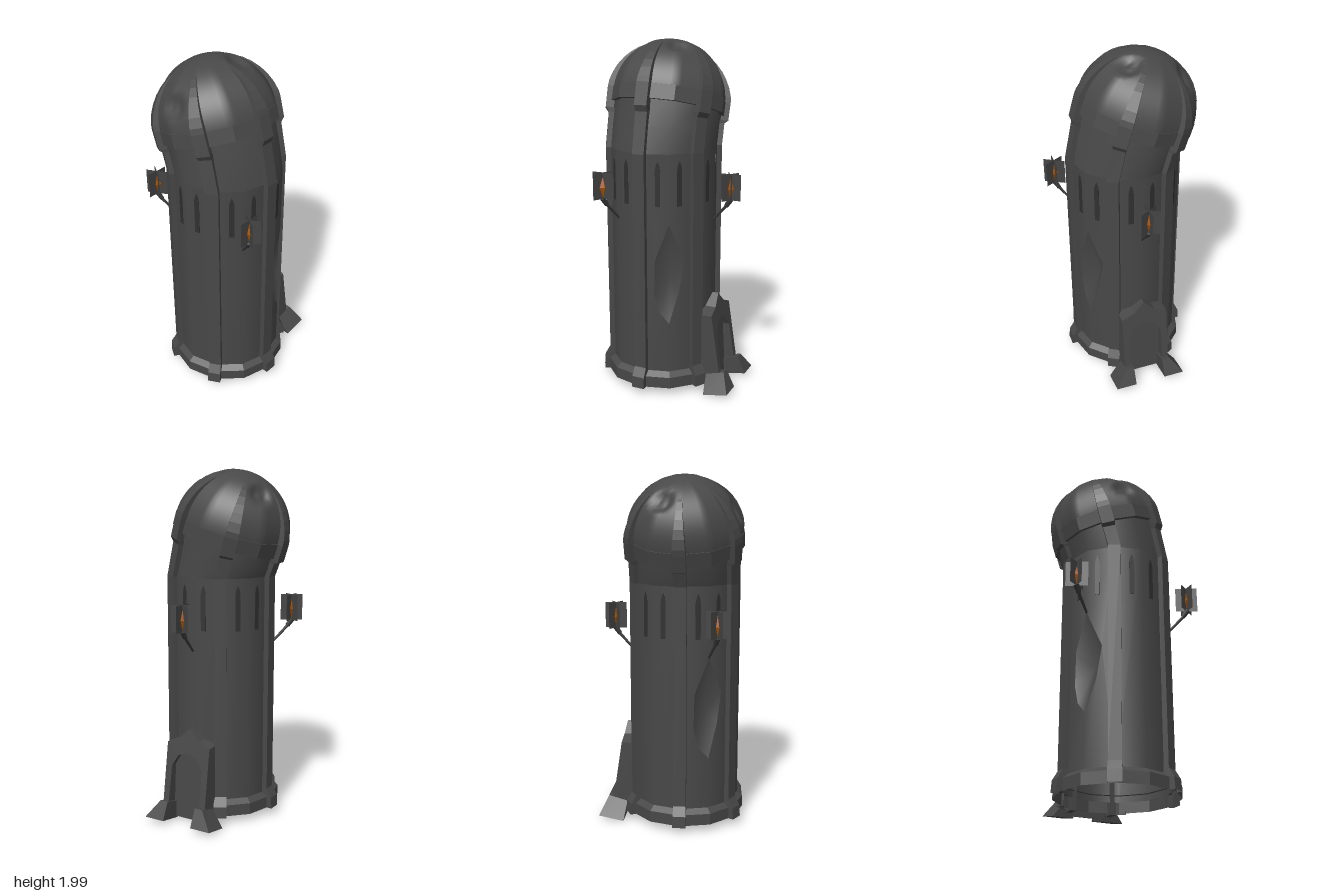
import * as THREE from 'three';

const CX = -0.075, TILT = 0.307, R = 0.31, STEP = Math.PI / 6;
const mat = (name, color, side = THREE.DoubleSide) => {
  const m = new THREE.MeshStandardMaterial({ color, side });
  m.name = name;
  return m;
};

// Point on the tower: h along the bent axis, r outwards, a from +z to +x, s sideways
function P(h, r, a, s = 0) {
  const k = THREE.MathUtils.clamp((h - 1.4) / 0.2, 0, 1), t = TILT * k, e = Math.max(0, h - 1.6);
  const lx = r * Math.sin(a) + s * Math.cos(a), lz = r * Math.cos(a) - s * Math.sin(a);
  return new THREE.Vector3(
    CX + lx,
    Math.min(h, 1.6) + e * Math.cos(TILT) + lz * Math.sin(t),
    -0.05 * k - e * Math.sin(TILT) + lz * Math.cos(t));
}

// Skin over rows of points
function loft(rows, flat) {
  const n = rows[0].length, idx = [];
  for (let i = 0; i < rows.length - 1; i++)
    for (let j = 0; j < n - 1; j++) {
      const a = i * n + j, b = a + 1, c = a + n, d = c + 1;
      idx.push(a, b, d, a, d, c);
    }
  let g = new THREE.BufferGeometry().setFromPoints(rows.flat());
  g.setIndex(idx);
  if (flat) g = g.toNonIndexed();
  g.computeVertexNormals();
  return g;
}

// Twelve-sided rings from [h, r] pairs
const rings = (profile, flat) => loft(profile.map(([h, r]) =>
  Array.from({ length: 13 }, (_, j) => P(h, r, j * STEP))), flat);

// Box whose eight corners are placed by a rule
function shapedBox(rule) {
  const g = new THREE.BoxGeometry(1, 1, 1), p = g.attributes.position;
  for (let i = 0; i < p.count; i++)
    p.setXYZ(i, ...rule(p.getX(i) > 0, p.getY(i) > 0, p.getZ(i) > 0));
  g.computeVertexNormals();
  return g;
}

export function createModel() {
  const root = new THREE.Group();
  const stone = mat('stone', 0x484848);
  const slitDark = mat('slitDark', 0x303030);
  const wood = mat('torchWood', 0x383838);
  const panel = mat('torchPanel', 0x444444);
  const orange = mat('flameOrange', 0xa65200);
  const add = (name, geo, m, parent = root) => {
    const mesh = new THREE.Mesh(geo, m);
    mesh.name = name;
    parent.add(mesh);
    return mesh;
  };

  // Shaft facets; two corners are broken by a gash
  const W = 2 * R * Math.sin(STEP / 2);
  const gashRight = [[0.06, 0.62], [0.09, 0.8]];
  const gashLeft = [[-0.08, 0.8], [-0.085, 0.6], [-0.06, 0.5]];
  const onFacet = (k, s, y, out = 0) => {
    const v = P(y, R, k * STEP).lerp(P(y, R, (k + 1) * STEP), s / W);
    const a = (k + 0.5) * STEP;
    return v.add(new THREE.Vector3(Math.sin(a) * out, 0, Math.cos(a) * out));
  };
  for (let k = 0; k < 12; k++) {
    let pts = [[0, 0.1], [W, 0.1], [W, 1.4], [0, 1.4]];
    if (k % 6 === 0)
      pts.splice(2, 0, [W, 0.43], ...[...gashLeft].reverse().map(([u, y]) => [W + u, y]), [W, 1.01]);
    if (k % 6 === 1)
      pts.push([0, 1.01], ...[...gashRight].reverse(), [0, 0.43]);
    const g = new THREE.ShapeGeometry(new THREE.Shape(pts.map(p => new THREE.Vector2(...p))));
    const p = g.attributes.position, nrm = g.attributes.normal;
    for (let i = 0; i < p.count; i++) {
      const v = onFacet(k, p.getX(i), p.getY(i));
      p.setXYZ(i, v.x, v.y, v.z);
      nrm.setXYZ(i, (v.x - CX) / R, 0, v.z / R);
    }
    add('shaftWall', g, stone);
  }

  // Sunken gashes
  for (const k of [0, 6]) {
    const rim = [onFacet(k, W, 0.43), ...gashRight.map(([u, y]) => onFacet(k + 1, u, y)),
      onFacet(k, W, 1.01), ...gashLeft.map(([u, y]) => onFacet(k, W + u, y))];
    const g = new THREE.BufferGeometry().setFromPoints([P(0.7, 0.235, (k + 1) * STEP, 0.015), ...rim]);
    g.setIndex(rim.flatMap((_, i) => [0, i + 1, (i + 1) % rim.length + 1]));
    g.computeVertexNormals();
    add('gash', g, stone);
  }

  // Bent neck, base flange and collar
  add('neck', rings([[1.4, R], [1.5, R], [1.62, R]]), stone);
  add('baseFlange', rings([[0.045, 0.342], [0.11, 0.342], [0.14, 0.305]], true), stone);
  add('collar', rings([[1.6, 0.3], [1.6, 0.332], [1.68, 0.332], [1.69, 0.3]], true), stone);

  // Dome with battered dents
  const H0 = 1.66, RD = 0.335, centre = P(H0, 0, 0);
  const dents = [[0.1, 0.32, 0.07], [0.105, 0.2, -0.25], [-0.29, 0.15, -0.03]]
    .map(d => new THREE.Vector3(...d).setLength(RD));
  const domeRows = [];
  for (let i = 0; i <= 24; i++) {
    const f = Math.PI / 2 * (1 - i / 24), row = [];
    for (let j = 0; j <= 72; j++) {
      const a = j * STEP / 6, off = (j % 6) * STEP / 6 - STEP / 2;
      const poly = Math.cos(STEP / 2) / Math.cos(off);
      const v = P(H0 + RD * Math.cos(f), RD * 0.985 * Math.sin(f) * poly, a).sub(centre);
      const near = Math.min(...dents.map(d => d.distanceTo(v)));
      v.multiplyScalar(1 - 0.09 * THREE.MathUtils.clamp((0.075 - near) / 0.035, 0, 1));
      row.push(v.add(centre));
    }
    domeRows.push(row);
  }
  add('dome', loft(domeRows), stone);

  // Six ribs from the flange up over the dome: [h, r, half width]
  const path = [[0.045, 0.365, 0.037], [0.11, 0.36, 0.037], [0.16, 0.33, 0.035], [1.4, 0.33, 0.035],
    [1.55, 0.33, 0.035], [1.57, 0.35, 0.037], [1.68, 0.352, 0.037]];
  for (let i = 0; i <= 6; i++) {
    const f = 1.42 - i * 0.15, rr = RD + 0.018 - i * 0.0035;
    path.push([H0 + rr * Math.cos(f), rr * Math.sin(f), 0.035 - i * 0.0045]);
  }
  for (let k = 0; k < 6; k++) {
    const a = k * STEP * 2;
    add('rib', loft(path.map(([h, r, w]) =>
      [P(h, r - 0.045, a, -w), P(h, r, a, -w), P(h, r, a, w), P(h, r - 0.045, a, w)]), true), stone);
  }

  // Pointed slit windows, two in each bay
  const slit = new THREE.ExtrudeGeometry(new THREE.Shape([[-0.014, 0], [0.014, 0], [0.014, 0.2],
    [0.009, 0.23], [0, 0.25], [-0.009, 0.23], [-0.014, 0.2]].map(p => new THREE.Vector2(...p))),
  { depth: 0.005, bevelEnabled: false });
  for (let k = 0; k < 12; k++) {
    const m = add('slitWindow', slit, slitDark);
    m.position.copy(onFacet(k, W / 2 + (k % 2 ? -0.018 : 0.018), 1.11, -0.002));
    m.rotation.y = (k + 0.5) * STEP;
  }

  // Leaning doorway on the +x side
  const half = [[0.105, 0.03], [0.14, 0.03], [0.14, 0.46], [0.065, 0.49], [0, 0.555]];
  const inner = [[0, 0.415], [0.06, 0.395], [0.1, 0.33]];
  const mirror = pts => pts.map(([z, y]) => [-z, y]);
  const outline = [...half, ...mirror(half).reverse().slice(1),
    ...mirror(inner).reverse(), ...inner.slice(1)];
  const arch = new THREE.ExtrudeGeometry(new THREE.Shape(outline.map(p => new THREE.Vector2(...p))),
    { depth: 1, bevelEnabled: false });
  const ap = arch.attributes.position;
  for (let i = 0; i < ap.count; i++) {
    const z = -ap.getX(i), y = ap.getY(i), outer = 0.335 - (y - 0.13) * 0.15;
    ap.setXYZ(i, ap.getZ(i) > 0.5 ? outer : 0.2, y, z);
  }
  arch.computeVertexNormals();
  const doorway = new THREE.Group();
  doorway.name = 'doorway';
  root.add(doorway);
  add('arch', arch, stone, doorway);
  add('door', shapedBox((x, y, z) =>
    [(x ? 0.28 : 0.274) - (y ? 0.02 : 0), y ? 0.41 : 0.015, z ? 0.102 : -0.102]), stone, doorway);
  for (const s of [1, -1])
    add('foot', shapedBox((x, y, z) => {
      const outside = z === (s > 0);
      return [y ? (x ? 0.365 : 0.255) : (x ? 0.413 : 0.268), y ? (x ? 0.13 : 0.1) : (x ? 0.03 : 0.003),
        s * (outside ? (y ? 0.14 : 0.215) : 0.092)];
    }), stone, doorway);

  // Three wall torches
  for (const [a, lift] of [[Math.PI / 2, 0], [-STEP, 0.025], [STEP * 7, 0.015]]) {
    const torch = new THREE.Group();
    torch.name = 'torch';
    torch.position.set(CX, lift, 0);
    torch.rotation.y = a;
    root.add(torch);
    const bar = (y0, z0, y1, z1, r0, r1) => {
      const m = add('torchHandle', new THREE.CylinderGeometry(r1, r0, Math.hypot(y1 - y0, z1 - z0), 6), wood, torch);
      m.position.set(0, (y0 + y1) / 2, (z0 + z1) / 2);
      m.rotation.x = Math.atan2(z1 - z0, y1 - y0);
    };
    bar(0.975, 0.29, 1.085, 0.39, 0.006, 0.009);
    bar(1.08, 0.385, 1.12, 0.412, 0.013, 0.016);
    for (let i = 0; i < 3; i++) {
      const q = add('torchPanel', new THREE.PlaneGeometry(0.125, 0.15), panel, torch);
      q.position.set(0, 1.19, 0.408);
      q.rotation.y = i * Math.PI / 3 - a;
    }
    const flame = add('flame', new THREE.OctahedronGeometry(1), orange, torch);
    flame.scale.set(0.021, 0.06, 0.021);
    flame.position.set(0, 1.18, 0.408);
  }
  return root;
}
